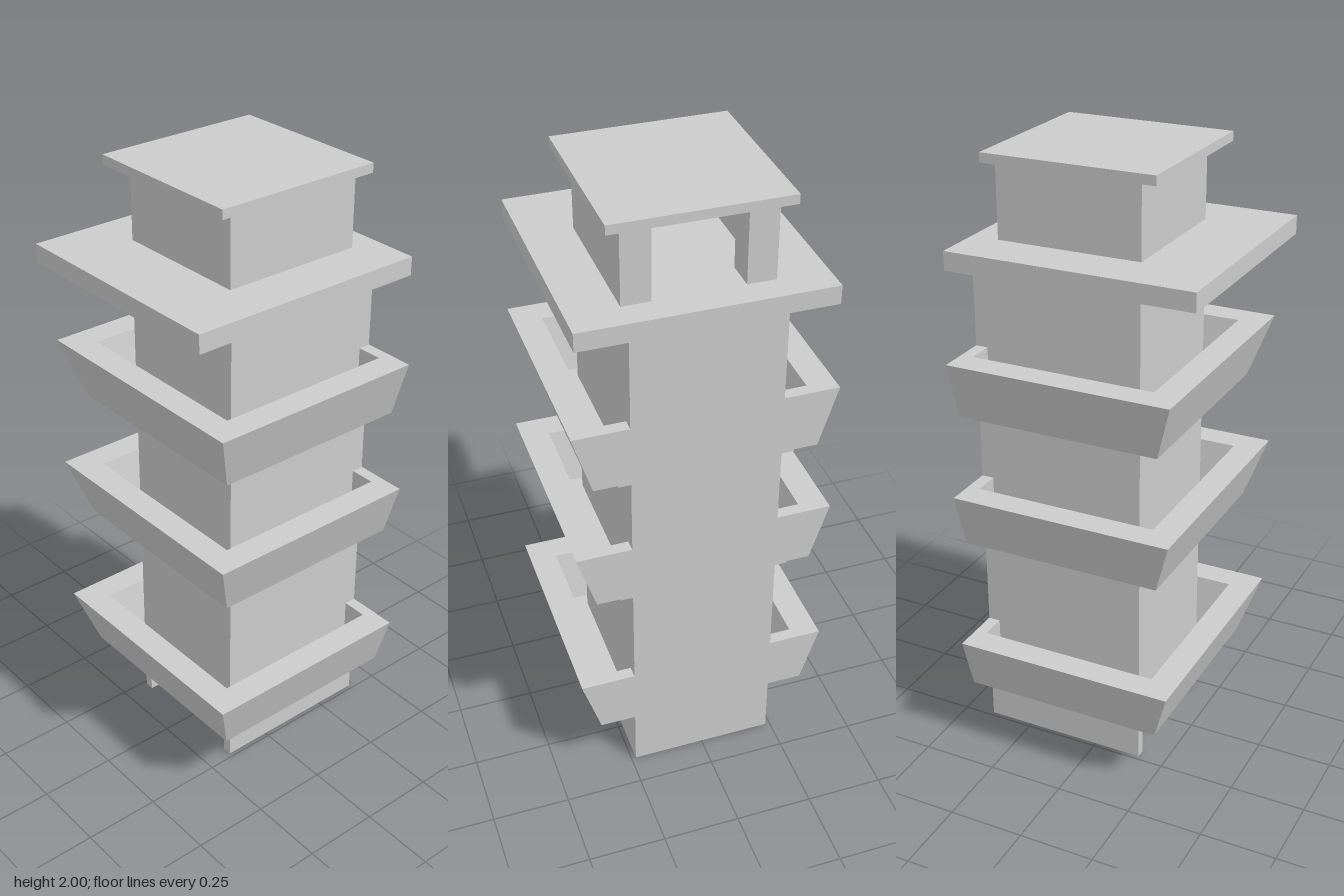
import * as THREE from 'three';

const material = new THREE.MeshStandardMaterial({ color: 0xcccccc, flatShading: true });

const BACK = 0.4;      // flush wall plane, +x
const SIDE = -0.16;    // opposite tower wall
const HALF = 0.235;    // half depth of the tower

function mesh(name, geometry, parent) {
  const m = new THREE.Mesh(geometry, material);
  m.name = name;
  parent.add(m);
  return m;
}

// Box given by its limits on each axis
function block(name, parent, x0, x1, y0, y1, z0, z1) {
  const m = mesh(name, new THREE.BoxGeometry(x1 - x0, y1 - y0, z1 - z0), parent);
  m.position.set((x0 + x1) / 2, (y0 + y1) / 2, (z0 + z1) / 2);
  return m;
}

// Slanted parapet: a four-point section swept round three sides with mitred corners
function parapetGeometry(height) {
  // [x of the far side, half depth, y]
  const section = [
    [-0.27, 0.35, 0],
    [-0.335, 0.41, height],
    [-0.245, 0.32, height],
    [-0.2, 0.275, 0],
  ];
  const stations = [
    ([, z, y]) => [BACK, y, z],
    ([x, z, y]) => [x, y, z],
    ([x, z, y]) => [x, y, -z],
    ([, z, y]) => [BACK, y, -z],
  ];
  const positions = stations.flatMap((f) => section.flatMap((p) => f(p)));
  const index = [];
  for (let i = 0; i < 3; i++) {
    for (let j = 0; j < 4; j++) {
      const a = i * 4 + j, d = i * 4 + ((j + 1) % 4);
      const b = a + 4, c = d + 4;
      index.push(a, d, c, a, c, b);
    }
  }
  index.push(0, 3, 2, 0, 2, 1, 12, 13, 14, 12, 14, 15);
  const g = new THREE.BufferGeometry();
  g.setAttribute('position', new THREE.Float32BufferAttribute(positions, 3));
  g.setIndex(index);
  const flat = g.toNonIndexed();
  flat.computeVertexNormals();
  return flat;
}

// Short wall closing the balcony next to the flush tower wall
function endWallGeometry(height) {
  const shape = new THREE.Shape([
    new THREE.Vector2(-0.2, 0),
    new THREE.Vector2(-0.2, height),
    new THREE.Vector2(-0.32, height),
    new THREE.Vector2(-0.275, 0),
  ]);
  const g = new THREE.ExtrudeGeometry(shape, { depth: 0.04, bevelEnabled: false });
  g.rotateY(Math.PI / 2); // shape x becomes -z, depth becomes +x
  g.translate(BACK - 0.04, 0, 0);
  return g;
}

function balcony(y, height, lip) {
  const group = new THREE.Group();
  group.name = 'balcony';
  mesh('parapet', parapetGeometry(height), group);
  block('balconyFloor', group, -0.2, BACK, -lip, 0.015, -0.275, 0.275);
  mesh('endWallFront', endWallGeometry(height), group);
  const rear = mesh('endWallRear', endWallGeometry(height), group);
  rear.rotation.x = Math.PI;
  rear.position.y = height;
  // Turned upside down, the slope must be flipped back
  rear.geometry.scale(1, -1, 1).translate(0, height, 0);
  const idx = rear.geometry.attributes.position;
  for (let i = 0; i < idx.count; i += 3) {
    const a = new THREE.Vector3().fromBufferAttribute(idx, i);
    const b = new THREE.Vector3().fromBufferAttribute(idx, i + 1);
    idx.setXYZ(i, b.x, b.y, b.z);
    idx.setXYZ(i + 1, a.x, a.y, a.z);
  }
  rear.geometry.computeVertexNormals();
  group.position.y = y;
  return group;
}

export function createModel() {
  const model = new THREE.Group();
  model.name = 'tower';

  // Tower shaft, standing on a hollow base open to one side
  block('shaft', model, SIDE, BACK, 0.205, 1.67, -HALF, HALF);
  const t = 0.03;
  block('baseBackWall', model, BACK - t, BACK, 0, 0.205, -HALF, HALF);
  for (const s of [-1, 1]) {
    const z0 = s > 0 ? HALF - t : -HALF;
    block('baseSideWall', model, SIDE, BACK - t, 0, 0.205, z0, z0 + t);
  }

  // Three balconies
  model.add(balcony(0.2, 0.19, 0));
  model.add(balcony(0.74, 0.19, 0.006));
  model.add(balcony(1.185, 0.195, 0.006));

  // Wide terrace slab
  block('terrace', model, -0.4, BACK, 1.67, 1.73, -0.39, 0.39);

  // Hollow top cabin with a doorway between two thick posts
  const front = 0.31, depth = 0.23;
  block('cabinBackWall', model, SIDE, SIDE + t, 1.73, 1.97, -depth, depth);
  for (const s of [-1, 1]) {
    const wall = s > 0 ? depth - t : -depth;
    block('cabinSideWall', model, SIDE + t, front - 0.1, 1.73, 1.97, wall, wall + t);
    const post = s > 0 ? 0.14 : -depth;
    block('doorPost', model, front - 0.1, front, 1.73, 1.97, post, post + 0.09);
  }

  // Flat roof
  block('roof', model, -0.225, 0.335, 1.97, 2, -0.275, 0.275);

  return model;
}
